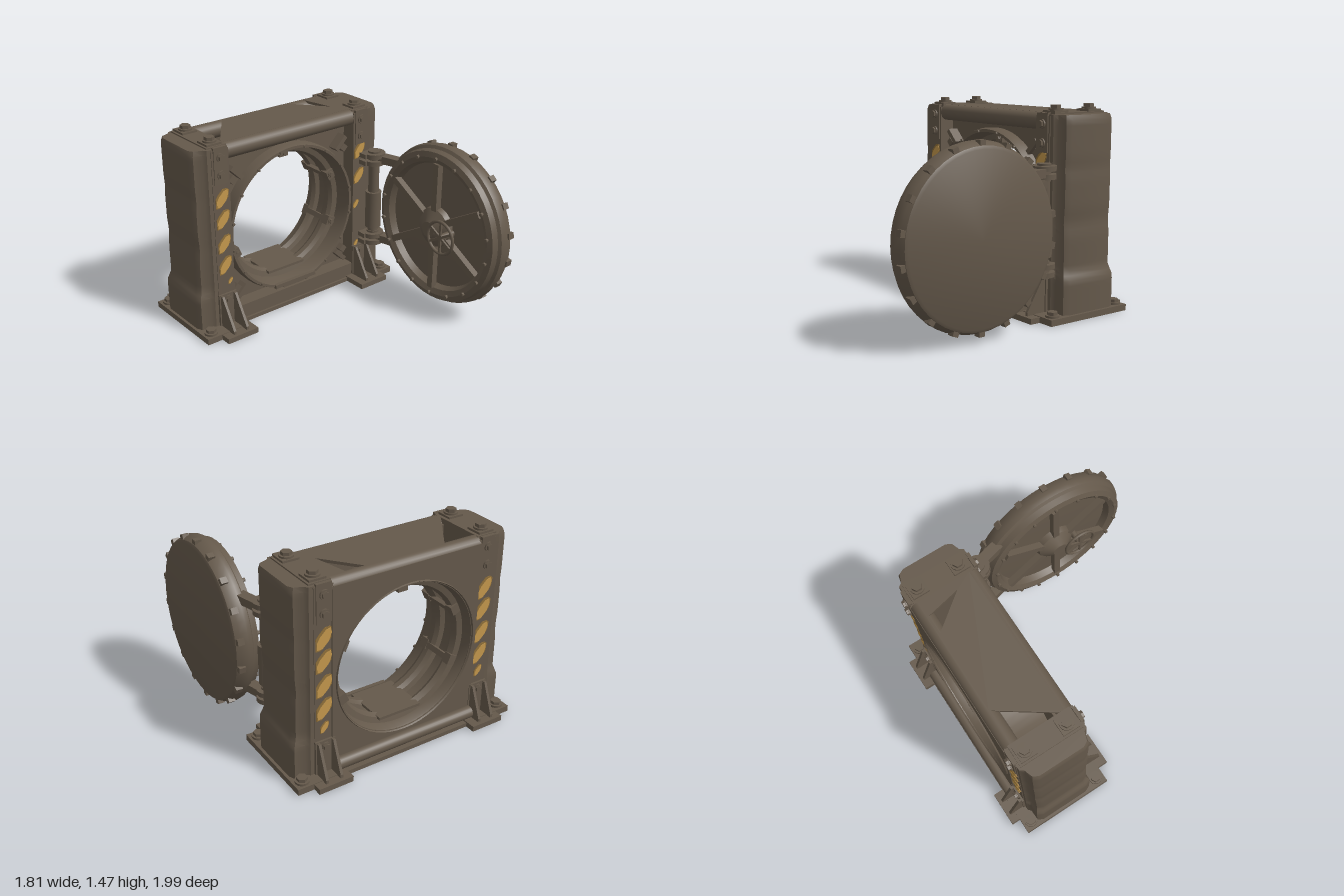
import * as THREE from 'three';
import { toCreasedNormals } from 'three/addons/utils/BufferGeometryUtils.js';

const metal = new THREE.MeshStandardMaterial({ color: 0x65594b, side: THREE.DoubleSide });
metal.name = 'brown metal';
const paint = new THREE.MeshStandardMaterial({ color: 0xc4984c });
paint.name = 'hazard yellow';
const worn = new THREE.MeshStandardMaterial({ color: 0x8f6f3a });
worn.name = 'worn yellow';

const RING_Y = 0.7;

function add(parent, name, geo, x = 0, y = 0, z = 0, mat = metal) {
  const m = new THREE.Mesh(geo, mat);
  m.name = name;
  m.position.set(x, y, z);
  parent.add(m);
  return m;
}
const box = (p, name, w, h, d, x, y, z) => add(p, name, new THREE.BoxGeometry(w, h, d), x, y, z);
const cyl = (p, name, r, h, x, y, z, sides = 20) =>
  add(p, name, toCreasedNormals(new THREE.CylinderGeometry(r, r, h, sides), 0.6), x, y, z);
const vectors = pts => pts.map(([x, y]) => new THREE.Vector2(x, y));
const shape = pts => new THREE.Shape(vectors(pts));
const extrude = (s, depth, steps = 1) =>
  new THREE.ExtrudeGeometry(s, { depth, steps, bevelEnabled: false, curveSegments: 32 });
const lathe = (pts, n) => toCreasedNormals(new THREE.LatheGeometry(vectors(pts), n), 0.5);

// Hex bolt with a washer, pointing along +z or +y
function bolt(parent, x, y, z, r = 0.025, up = false) {
  const g = new THREE.Group();
  g.name = 'bolt';
  cyl(g, 'washer', r * 1.3, r * 0.4, 0, r * 0.2, 0, 16);
  cyl(g, 'boltHead', r, r * 0.8, 0, r * 0.6, 0, 6);
  g.position.set(x, y, z);
  if (!up) g.rotation.x = Math.PI / 2;
  parent.add(g);
}

// Outer shell of a side column, flared at the foot and faintly dented
function columnGeometry() {
  const s = shape([[0.66, -0.25], [0.735, -0.25], [0.755, -0.225], [0.82, -0.21], [0.84, -0.17],
    [0.84, 0.17], [0.82, 0.21], [0.755, 0.225], [0.735, 0.25], [0.66, 0.25]]);
  const g = extrude(s, 1.41, 40);
  g.rotateX(-Math.PI / 2);
  const p = g.attributes.position;
  for (let i = 0; i < p.count; i++) {
    const x = p.getX(i), y = p.getY(i), z = p.getZ(i);
    const k = THREE.MathUtils.clamp((x - 0.72) / 0.1, 0, 1);
    const flare = 1 - THREE.MathUtils.smoothstep(y, 0.27, 0.36);
    const dent = Math.exp(-(((y - 0.68) / 0.07) ** 2)) + 0.6 * Math.exp(-(((y - 1.05) / 0.05) ** 2));
    const top = THREE.MathUtils.smoothstep(y, 1.37, 1.41);
    p.setX(i, x + k * (0.025 * flare - 0.008 * dent - 0.01 * top));
    p.setZ(i, z * (1 + k * (0.1 * flare - 0.04 * top)));
  }
  return toCreasedNormals(g, 0.7);
}

// Slanted brush stroke: worn paint below, a brighter core above
function stripe(parent, y, size, dx = 0) {
  const edge = [[-0.054, -0.07], [-0.02, -0.07], [0.02, -0.035], [0.05, 0.0], [0.058, 0.055], [0.04, 0.07],
    [0.005, 0.068], [-0.035, 0.03], [-0.054, 0.005]];
  const core = [[-0.045, -0.062], [-0.012, -0.06], [0.03, -0.02], [0.05, 0.03], [0.043, 0.06],
    [0.012, 0.052], [-0.03, 0.012], [-0.048, -0.02]];
  const scaled = pts => shape(pts.map(([a, b]) => [a * size, b * size]));
  add(parent, 'stripeWornEdge', extrude(scaled(edge), 0.003), dx, y, 0.255, worn);
  add(parent, 'stripePaint', extrude(scaled(core), 0.006), dx, y, 0.255, paint);
}

// Front (or back) face of one post: bracket, stripes, gusseted foot reaching out to the given depth
function postEnd(stripes, reach) {
  const g = new THREE.Group();
  g.name = 'postEnd';
  box(g, 'topBracket', 0.11, 0.27, 0.025, 0, 1.285, 0.25);
  for (const y of [1.345, 1.215]) bolt(g, 0, y, 0.2625, 0.026);
  stripes.forEach(s => stripe(g, ...s));
  box(g, 'footPlate', 0.26, 0.04, reach - 0.225, 0, 0.02, (reach + 0.225) / 2);
  box(g, 'footBracket', 0.15, 0.25, 0.02, 0, 0.17, 0.26);
  bolt(g, 0, 0.25, 0.27, 0.024);
  const rib = extrude(shape([[0.25, 0.04], [reach - 0.025, 0.04], [reach - 0.025, 0.065], [0.29, 0.29],
    [0.25, 0.29]]), 0.02);
  rib.rotateY(-Math.PI / 2);
  for (const x of [-0.045, 0.065]) add(g, 'footGusset', rib, x, 0, 0);
  return g;
}

// One side of the frame; front is +1 or -1, the local z direction of the gate's front
function frameSide(front) {
  const g = new THREE.Group();
  g.name = 'frameSide';
  add(g, 'sideColumn', columnGeometry());
  box(g, 'post', 0.14, 1.38, 0.51, 0.635, 0.71, 0);
  box(g, 'postCap', 0.16, 0.03, 0.46, 0.645, 1.405, 0);
  box(g, 'basePlate', 0.3, 0.045, 0.71, 0.735, 0.0225, front * 0.015);
  for (const z of [-0.155, 0.155]) {
    box(g, 'capPad', 0.12, 0.02, 0.12, 0.65, 1.425, z);
    bolt(g, 0.65, 1.433, z, 0.038, true);
    bolt(g, 0.82, 0.045, z * 1.88 + front * 0.015, 0.038, true);
  }
  return g;
}

// Wall plate with a round opening
function wallGeometry(r) {
  const s = shape([[-0.58, 0.05], [0.58, 0.05], [0.58, 1.38], [-0.58, 1.38]]);
  const hole = new THREE.Path();
  hole.absarc(0, RING_Y, r, 0, Math.PI * 2, true);
  s.holes.push(hole);
  return extrude(s, 0.02);
}

function frame() {
  const g = new THREE.Group();
  g.name = 'gateFrame';
  const rightFront = [[1.04, 1], [0.88, 1], [0.69, 0.98], [0.52, 0.98], [0.385, 0.35, 0.035]];
  const leftFront = [[1.1, 0.95, -0.01], [0.89, 0.9, -0.015], [0.655, 0.5, -0.04], [0.31, 0.4, -0.035]];
  const back = [[1.04, 1.12], [0.88, 1.12], [0.7, 1.12], [0.53, 1.12], [0.39, 0.6]];
  for (const turn of [0, Math.PI]) {
    const s = frameSide(turn ? -1 : 1);
    for (const end of [0, Math.PI]) {
      const isFront = turn === end;
      const e = postEnd(isFront ? (turn ? rightFront : leftFront) : back, isFront ? 0.45 : 0.405);
      e.position.x = 0.635;
      e.rotation.y = end;
      s.add(e);
    }
    s.rotation.y = turn;
    g.add(s);
  }
  add(g, 'frontWall', wallGeometry(0.56), 0, 0, 0.12);
  add(g, 'backWall', wallGeometry(0.54), 0, 0, -0.265);
  // Round tunnel with two inner ribs
  const tunnel = lathe([[0.56, -0.25], [0.575, 0.2], [0.565, 0.235], [0.545, 0.235], [0.535, 0.2], [0.525, 0.11],
    [0.485, 0.1], [0.467, 0.07], [0.467, 0.03], [0.485, 0], [0.52, -0.01], [0.52, -0.1], [0.485, -0.11],
    [0.467, -0.14], [0.485, -0.18], [0.525, -0.19], [0.535, -0.25], [0.55, -0.275], [0.56, -0.25]], 56);
  tunnel.rotateX(Math.PI / 2);
  add(g, 'tunnelRing', tunnel, 0, RING_Y, 0);
  // Clamps around the opening
  for (const deg of [90, 24, -24, 156, 204]) {
    const c = new THREE.Group();
    c.name = 'ringClamp';
    box(c, 'clampBlock', 0.065, 0.075, 0.07, 0.49, 0, 0.09);
    box(c, 'clampStrap', 0.03, 0.04, 0.28, 0.475, 0, -0.04);
    box(c, 'clampBackBlock', 0.06, 0.075, 0.06, 0.49, 0, -0.165);
    bolt(c, 0.49, 0, 0.125, 0.02);
    c.position.y = RING_Y;
    c.rotation.z = THREE.MathUtils.degToRad(deg);
    g.add(c);
  }
  // Rivets on the ring lip
  for (let i = 0; i < 16; i++) {
    const a = (i + 0.5) * Math.PI / 8;
    const rivet = cyl(g, 'rivet', 0.011, 0.02, 0.553 * Math.cos(a), RING_Y + 0.553 * Math.sin(a), 0.238, 8);
    rivet.rotation.x = Math.PI / 2;
  }
  // Corner braces
  for (const sx of [-1, 1]) for (const sy of [-1, 1]) {
    const b = box(g, 'cornerBrace', 0.13, 0.035, 0.1, sx * 0.475, RING_Y + sy * 0.475, 0.17);
    b.rotation.z = sx * sy * Math.PI / 4;
    const t = box(g, 'cornerBlock', 0.05, 0.05, 0.08, sx * 0.51, RING_Y + sy * 0.43, 0.17);
    t.rotation.z = sx * sy * Math.PI / 4;
  }
  // Threshold and sills
  box(g, 'thresholdPlate', 0.34, 0.02, 0.34, 0, 0.245, -0.04);
  box(g, 'thresholdLip', 0.38, 0.03, 0.03, 0, 0.175, 0.235);
  box(g, 'bottomSill', 1.14, 0.14, 0.51, 0, 0.07, 0);
  box(g, 'floorPlate', 1.2, 0.03, 0.6, 0, 0.015, -0.03);
  const sill = cyl(g, 'backSillTube', 0.045, 1.12, 0, 0.085, -0.285);
  sill.rotation.z = Math.PI / 2;
  // Rounded top beams and the roof sheet with torn corners
  for (const z of [0.195, -0.205]) {
    const beam = cyl(g, 'topBeam', 0.06, 1.14, 0, 1.36, z);
    beam.rotation.z = Math.PI / 2;
  }
  const roof = extrude(shape([[-0.57, -0.19], [0.57, -0.19], [0.57, 0.205], [0.44, 0.205], [0.5, -0.06],
    [0.29, 0.205], [-0.31, 0.205], [-0.56, -0.15]]), 0.02);
  roof.rotateX(-Math.PI / 2);
  add(g, 'roofSheet', roof, 0, 1.4, 0);
  g.position.set(-0.02, 0, -0.598);
  return g;
}

// Open round door, its axis along x
function door() {
  const g = new THREE.Group();
  g.name = 'door';
  const disc = lathe([[0, 0.745], [0.48, 0.77], [0.5, 0.72], [0.54, 0.7], [0.58, 0.715], [0.59, 0.76], [0.612, 0.775],
    [0.62, 0.81], [0.607, 0.86], [0.59, 0.89], [0.57, 0.9], [0, 0.9]], 48);
  disc.rotateZ(-Math.PI / 2);
  add(g, 'doorDisc', disc);
  // Rim lugs and inner studs
  for (let i = 0; i < 18; i++) {
    const a = (i + 0.5) * Math.PI / 9;
    const b = box(g, 'rimLug', 0.05, 0.045, 0.05, 0.862, 0.6 * Math.sin(a), 0.6 * Math.cos(a));
    b.rotation.x = -a;
    const s = cyl(g, 'innerStud', 0.014, 0.03, 0.7, 0.54 * Math.sin(a), 0.54 * Math.cos(a), 8);
    s.rotation.z = Math.PI / 2;
  }
  // Inner spokes and raised hub
  for (let i = 0; i < 6; i++) {
    const a = i * Math.PI / 3 + Math.PI / 6;
    const s = box(g, 'spoke', 0.05, 0.05, 0.42, 0.725, 0.29 * Math.sin(a), 0.29 * Math.cos(a));
    s.rotation.x = -a;
  }
  const hub = lathe([[0, 0.65], [0.06, 0.65], [0.09, 0.67], [0.15, 0.71], [0.16, 0.76]], 24);
  hub.rotateZ(-Math.PI / 2);
  add(g, 'hub', hub);
  // Hand wheel
  const w = new THREE.Group();
  w.name = 'handWheel';
  add(w, 'wheelRim', new THREE.TorusGeometry(0.125, 0.012, 8, 28).rotateY(Math.PI / 2));
  for (let i = 0; i < 3; i++) box(w, 'wheelSpoke', 0.014, 0.25, 0.018, 0, 0, 0).rotation.x = i * Math.PI / 3;
  cyl(w, 'wheelStem', 0.025, 0.13, 0.06, 0, 0).rotation.z = Math.PI / 2;
  w.position.set(0.62, 0, 0.16);
  g.add(w);
  g.position.set(0, 0.672, 0.378);
  g.scale.z = 0.98;
  return g;
}

function hinge() {
  const g = new THREE.Group();
  g.name = 'hinge';
  cyl(g, 'hingePin', 0.042, 0.74, 0, 0.69, 0);
  cyl(g, 'hingeSleeve', 0.062, 0.3, 0, 0.6, 0);
  for (const y of [0.36, 1.03]) {
    for (const dy of [-0.028, 0.028]) {
      cyl(g, 'hingeLug', 0.085, 0.035, 0, y + dy, 0);
      box(g, 'postArm', 0.12, 0.035, 0.12, -0.04, y + dy, -0.05);
    }
    box(g, 'doorArm', 0.08, 0.06, 0.24, 0.05, y, 0.12).rotation.y = 0.25;
    cyl(g, 'hingeCap', 0.05, 0.12, 0, y, 0, 12);
  }
  g.position.set(0.705, 0, -0.28);
  return g;
}

export function createModel() {
  const model = new THREE.Group();
  model.name = 'roundHatchGate';
  model.add(frame(), door(), hinge());
  return model;
}
